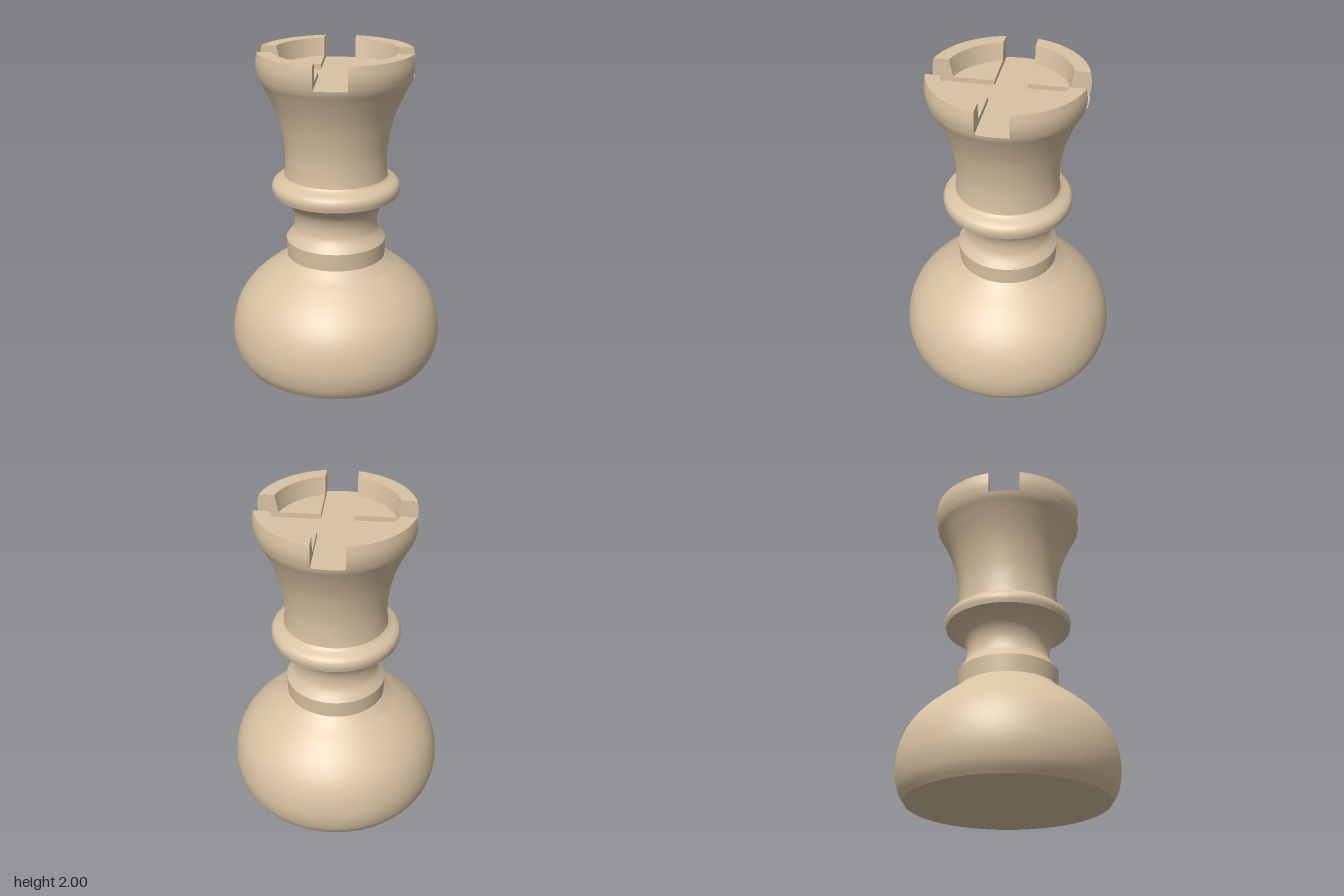
import * as THREE from 'three';
import { mergeGeometries } from 'three/addons/utils/BufferGeometryUtils.js';

const SEGMENTS = 96;
const SLOT = 0.097;      // half width of the crossing slots
const SLOT_Y = 1.86;     // floor of the slots
const FLOOR_Y = 1.89;    // floor inside the crown
const v2 = ([r, y]) => new THREE.Vector2(r, y);

// Smooth curve through profile points, given as [radius, height]
const smooth = (points, n) => new THREE.SplineCurve(points.map(v2)).getPoints(n);

// Surface of revolution limited to the quadrant x > SLOT, z > SLOT
function quadrantSheet(profile, steps = 24) {
  const position = [], index = [];
  profile.forEach((p, i) => {
    const start = Math.asin(Math.min(1, SLOT / p.x));
    for (let j = 0; j <= steps; j++) {
      const a = start + (j / steps) * (Math.PI / 2 - 2 * start);
      position.push(p.x * Math.cos(a), p.y, p.x * Math.sin(a));
      if (i < profile.length - 1 && j < steps) {
        const k = i * (steps + 1) + j, up = k + steps + 1;
        index.push(k, up, k + 1, k + 1, up, up + 1);
      }
    }
  });
  const geometry = new THREE.BufferGeometry();
  geometry.setAttribute('position', new THREE.Float32BufferAttribute(position, 3));
  geometry.setIndex(index);
  geometry.computeVertexNormals();
  return geometry;
}

// One corner of the crown: curved wall, rim, inner wall, raised floor, two cut faces
function crownQuadrant() {
  const outer = smooth([[0.465, SLOT_Y], [0.474, 1.905], [0.474, 1.95], [0.466, 2]], 10);
  const rimIn = v2([0.377, 2]), wallFoot = v2([0.357, FLOOR_Y]);
  const apex = v2([SLOT * Math.SQRT2, FLOOR_Y]);
  const sheets = [outer, [outer.at(-1), rimIn], [rimIn, wallFoot], [wallFoot, apex]]
    .map((profile) => quadrantSheet(profile));

  const outline = [...outer, rimIn, wallFoot, apex, v2([apex.x, SLOT_Y])]
    .map((p) => new THREE.Vector2(Math.sqrt(Math.max(0, p.x * p.x - SLOT * SLOT)), p.y));
  const cut = new THREE.ShapeGeometry(new THREE.Shape(outline));
  cut.deleteAttribute('uv');
  const cutX = cut.clone().translate(0, 0, -SLOT).rotateY(-Math.PI / 2);
  const cutZ = cut.clone().translate(0, 0, SLOT);
  return mergeGeometries([...sheets, cutX, cutZ]);
}

export function createModel() {
  const group = new THREE.Group();
  const material = new THREE.MeshStandardMaterial({ color: 0xd8c2a2, side: THREE.DoubleSide });
  const add = (name, geometry) => {
    const mesh = new THREE.Mesh(geometry, material);
    mesh.name = name;
    group.add(mesh);
    return mesh;
  };
  const turn = (name, profile) => add(name, new THREE.LatheGeometry(profile, SEGMENTS));

  // Base
  turn('underside', [v2([0, 0]), v2([0.605, 0])]);
  turn('base', smooth([[0.605, 0], [0.645, 0.07], [0.665, 0.18], [0.652, 0.3], [0.612, 0.41],
    [0.54, 0.51], [0.44, 0.6], [0.36, 0.66], [0.307, 0.71]], 40));

  // Stem
  turn('lowerBand', [v2([0.307, 0.71]), v2([0.312, 0.82])]);
  turn('waist', smooth([[0.312, 0.82], [0.275, 0.87], [0.26, 0.91], [0.259, 0.97],
    [0.28, 1.03], [0.325, 1.08], [0.39, 1.12]], 28));
  turn('collar', smooth([[0.39, 1.12], [0.397, 1.155], [0.39, 1.185], [0.37, 1.205],
    [0.333, 1.225], [0.318, 1.24]], 20));

  // Tower
  turn('tower', smooth([[0.318, 1.24], [0.313, 1.3], [0.314, 1.4], [0.328, 1.5], [0.352, 1.6],
    [0.385, 1.69], [0.427, 1.78], [0.454, 1.83], [0.465, SLOT_Y]], 36));
  turn('slotFloor', [v2([0.465, SLOT_Y]), v2([0, SLOT_Y])]);

  // Crown battlements
  const quadrant = crownQuadrant();
  for (let i = 0; i < 4; i++) {
    add('battlement' + (i + 1), quadrant).rotation.y = i * Math.PI / 2;
  }
  return group;
}
